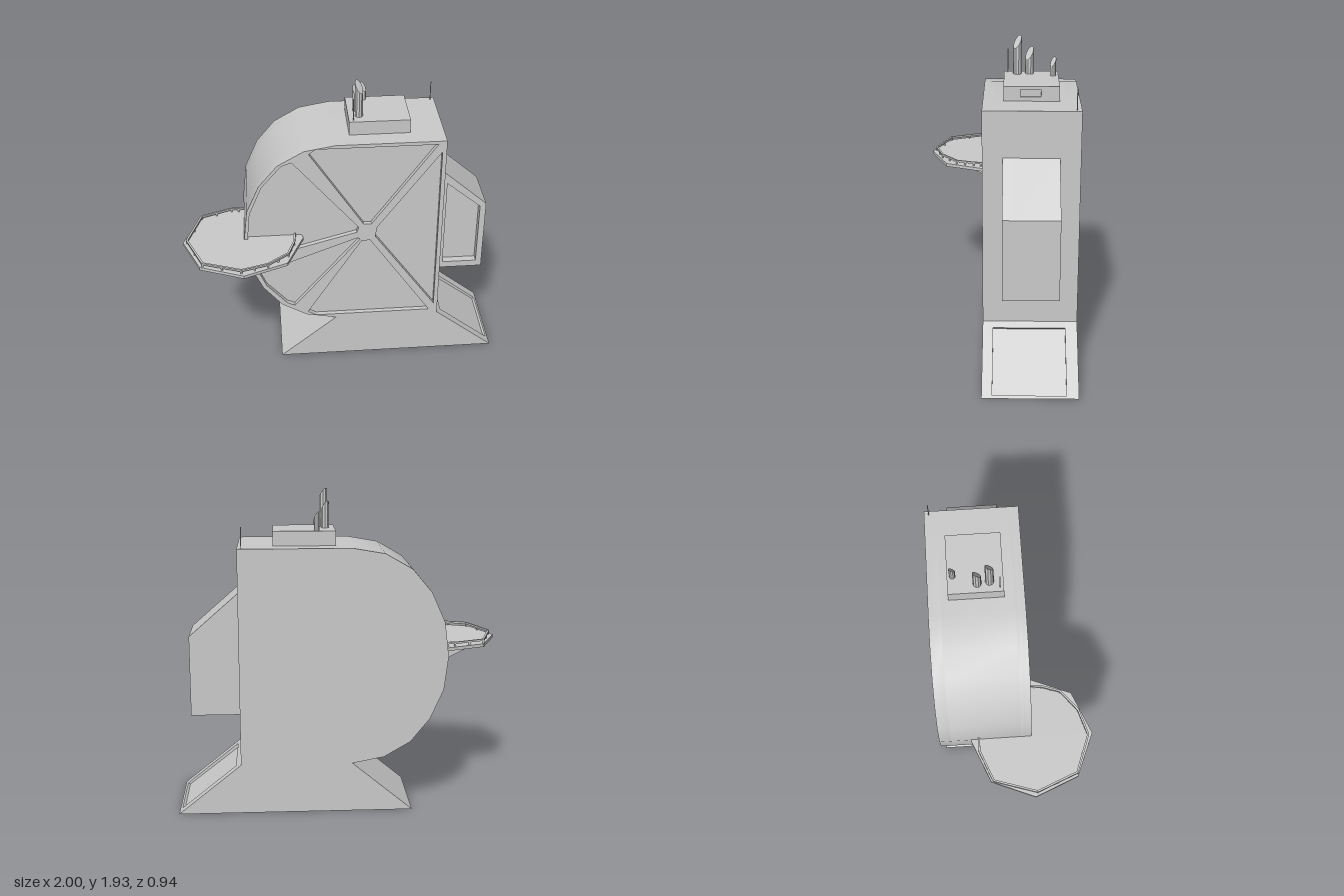
import * as THREE from 'three';
import { toCreasedNormals } from 'three/addons/utils/BufferGeometryUtils.js';

const grey = new THREE.MeshStandardMaterial({ color: 0xcccccc });
const flat = new THREE.MeshStandardMaterial({ color: 0xcccccc, flatShading: true });

const toPoints = (list) => list.map(([x, y]) => new THREE.Vector2(x, y));

export function createModel() {
  const model = new THREE.Group();

  function add(name, geometry, material = flat, parent = model) {
    const mesh = new THREE.Mesh(geometry, material);
    mesh.name = name;
    parent.add(mesh);
    return mesh;
  }

  // Outline in x/y, extruded between two z values
  function slab(name, outline, z0, z1, holes = [], parent = model) {
    const shape = new THREE.Shape(toPoints(outline));
    shape.holes = holes.map((h) => new THREE.Path(toPoints(h)));
    const geo = new THREE.ExtrudeGeometry(shape, { depth: z1 - z0, bevelEnabled: false });
    geo.translate(0, 0, z0);
    return add(name, toCreasedNormals(geo, 0.43), grey, parent);
  }

  function box(name, [x0, x1], [y0, y1], [z0, z1], parent = model) {
    const geo = new THREE.BoxGeometry(x1 - x0, y1 - y0, z1 - z0);
    geo.translate((x0 + x1) / 2, (y0 + y1) / 2, (z0 + z1) / 2);
    return add(name, geo, flat, parent);
  }

  // Square bar from a to b
  function beam(name, a, b, w, h, parent) {
    const from = new THREE.Vector3(...a), to = new THREE.Vector3(...b);
    const mesh = add(name, new THREE.BoxGeometry(w, h, from.distanceTo(to)), flat, parent);
    mesh.position.lerpVectors(from, to, 0.5);
    mesh.lookAt(to);
    return mesh;
  }

  // Body and foot: half drum with a flat right side on a flared base
  const drum = [[-0.05, 1.61], [-0.24, 1.577], [-0.4, 1.485], [-0.517, 1.345], [-0.597, 1.165],
    [-0.622, 0.957], [-0.597, 0.755], [-0.517, 0.577], [-0.4, 0.433], [-0.24, 0.34], [-0.05, 0.303]];
  const rest = [[-0.415, 0], [1, 0]];
  const upper = [[0.622, 0.303], [0.622, 1.61]];
  const outline = [...drum, ...rest, ...upper];
  const notched = [...drum, ...rest, [0.985, 0.012], [0.972, -0.004 + 0.008], [0.642, 0.262], [0.656, 0.276], ...upper];

  // Recessed panels radiating from the hub on the front
  const panels = [
    [[-0.21, 1.556], [-0.168, 1.588], [0.57, 1.588], [0.174, 1.037], [0.126, 1.037]],
    [[0.596, 1.535], [0.596, 0.38], [0.2, 0.941], [0.211, 1.011]],
    [[0.564, 0.332], [-0.18, 0.332], [-0.233, 0.364], [0.115, 0.914], [0.168, 0.914]],
    [[-0.313, 1.503], [-0.377, 1.481], [-0.5, 1.337], [-0.58, 1.15], [-0.6, 0.957], [-0.575, 0.797],
      [0.083, 0.979], [0.094, 1.016]],
    [[0.088, 0.936], [-0.538, 0.695], [-0.495, 0.594], [-0.366, 0.444], [-0.318, 0.422], [0.104, 0.925]],
  ];
  const body = new THREE.Group();
  body.name = 'body';
  model.add(body);
  slab('frontFrame', outline, 0.062, 0.092, panels, body);
  slab('bodyFront', outline, 0.03, 0.062, [], body);
  slab('bodyMiddle', notched, -0.4, 0.03, [], body);
  slab('bodyBack', outline, -0.472, -0.4, [], body);

  // Side bay with a sunken window on its front
  const bay = [[0.62, 0.585], [0.92, 0.585], [0.92, 1.072], [0.62, 1.335]];
  const bayWindow = [[0.662, 0.628], [0.882, 0.628], [0.882, 1.052], [0.662, 1.235]];
  slab('sideBay', bay, -0.352, -0.075);
  slab('sideBayFrame', bay, -0.075, -0.026, [bayWindow]);

  // Roof box with a sunken vent on its right end
  box('roofBox', [0.043, 0.405], [1.605, 1.697], [-0.352, -0.028]);
  const ventPlate = slab('roofVentFrame',
    [[0.028, 1.605], [0.352, 1.605], [0.352, 1.697], [0.028, 1.697]], 0, 0.01,
    [[[0.125, 1.635], [0.245, 1.635], [0.245, 1.678], [0.125, 1.678]]]);
  ventPlate.rotation.y = Math.PI / 2;
  ventPlate.position.x = 0.405;

  // Chimneys with tops cut at a slant
  for (const [x, z, r, top] of [[0.108, -0.108, 0.025, 1.93], [0.1, -0.18, 0.025, 1.86], [0.154, -0.32, 0.018, 1.81]]) {
    const geo = new THREE.CylinderGeometry(r, r, 1, 10);
    const p = geo.attributes.position;
    for (let i = 0; i < p.count; i++) {
      const slant = ((p.getX(i) + p.getZ(i)) / r + 1.414) * 1.1 * r;
      p.setY(i, p.getY(i) > 0 ? top - slant : 1.69);
    }
    add('chimney', geo).position.set(x, 0, z);
  }

  // Thin aerials
  for (const [x, z, y0, y1] of [[0.07, -0.05, 1.69, 1.84], [0.597, -0.443, 1.6, 1.735]]) {
    add('aerial', new THREE.CylinderGeometry(0.003, 0.003, y1 - y0, 6)).position.set(x, (y0 + y1) / 2, z);
  }

  // Octagonal balcony set into the drum
  const balcony = new THREE.Group();
  balcony.name = 'balcony';
  model.add(balcony);
  add('balconyFloor', new THREE.CylinderGeometry(0.374, 0.374, 0.02, 8), flat, balcony)
    .position.set(-0.626, 0.953, 0.094);

  // Railing and its posts
  const rail = [[-0.61, -0.23], [-0.7, -0.23], [-0.89, -0.155], [-0.973, 0.105], [-0.872, 0.353],
    [-0.64, 0.44], [-0.48, 0.392], [-0.353, 0.29], [-0.315, 0.176], [-0.305, 0.085]];
  rail.forEach(([x, z], i) => {
    beam('railPost', [x, 0.96, z], [x, 0.985, z], 0.01, 0.01, balcony);
    if (i === 0) return;
    const [px, pz] = rail[i - 1];
    beam('handrail', [px, 0.985, pz], [x, 0.985, z], 0.012, 0.012, balcony);
    beam('railPost', [(x + px) / 2, 0.96, (z + pz) / 2], [(x + px) / 2, 0.985, (z + pz) / 2], 0.01, 0.01, balcony);
  });

  // Diagonal struts below the balcony
  beam('strut', [-0.85, 0.945, -0.02], [-0.58, 0.81, -0.02], 0.035, 0.035, balcony);
  beam('strut', [-0.605, 0.945, 0.31], [-0.605, 0.82, 0.07], 0.03, 0.03, balcony);
  beam('strut', [-0.445, 0.945, 0.23], [-0.445, 0.85, 0.05], 0.05, 0.03, balcony);

  return model;
}
